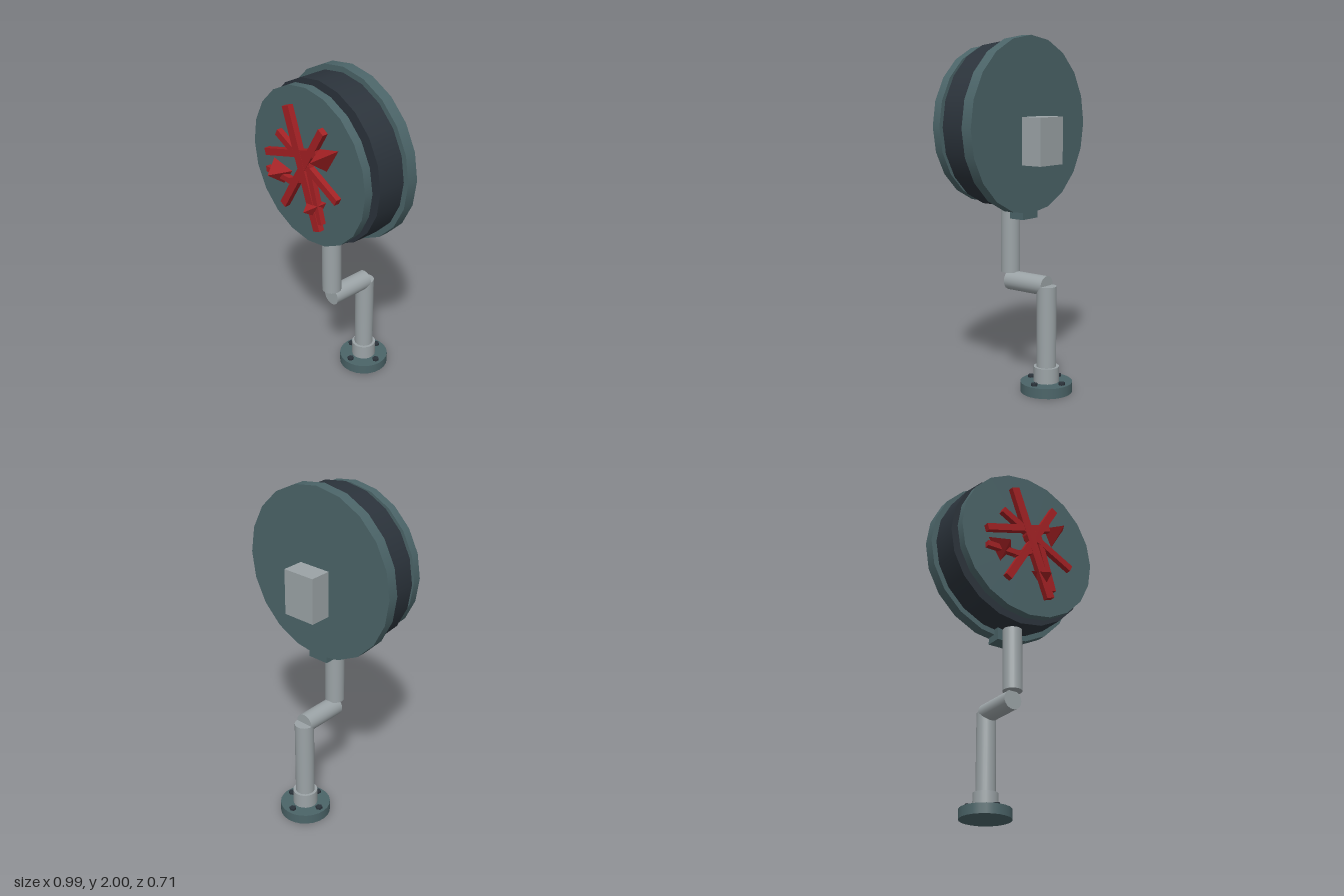
import * as THREE from 'three';

const mat = (name, color) => {
  const m = new THREE.MeshStandardMaterial({ color });
  m.name = name;
  return m;
};

export function createModel() {
  const root = new THREE.Group();
  root.name = 'drumOnPost';
  const teal = mat('slateTeal', 0x4b6468);
  const dark = mat('darkSteel', 0x2b333b);
  const grey = mat('paleSteel', 0x9ba3a6);
  const red = mat('signalRed', 0xa32023);
  const redFlat = mat('signalRedFaceted', 0xa32023);
  redFlat.flatShading = true;

  const CY = 1.505;    // drum axis height
  const POST_Z = -0.205;

  const add = (name, geo, material, x, y, z) => {
    const mesh = new THREE.Mesh(geo, material);
    mesh.name = name;
    mesh.position.set(x, y, z);
    root.add(mesh);
    return mesh;
  };
  const box = (name, m, w, h, d, x, y, z) => add(name, new THREE.BoxGeometry(w, h, d), m, x, y, z);
  // upright cylinder from y0 to y1
  const post = (name, m, r, y0, y1, x, z, sides = 24) =>
    add(name, new THREE.CylinderGeometry(r, r, y1 - y0, sides), m, x, (y0 + y1) / 2, z);
  // cylinder along z from z0 to z1
  const disc = (name, m, r, z0, z1, y, sides = 20) => {
    const geo = new THREE.CylinderGeometry(r, r, z1 - z0, sides).rotateX(Math.PI / 2);
    return add(name, geo, m, 0, y, (z0 + z1) / 2);
  };
  // flat bar in the xy plane between two points
  const bar = (name, m, a, b, width, z0, z1) => {
    const dx = b[0] - a[0], dy = b[1] - a[1];
    const mesh = box(name, m, Math.hypot(dx, dy), width, z1 - z0,
      (a[0] + b[0]) / 2, (a[1] + b[1]) / 2, (z0 + z1) / 2);
    mesh.rotation.z = Math.atan2(dy, dx);
  };
  // three-sided spike pointing forward
  const spike = (corners, tip) => {
    const [a, b, c] = corners.map(([x, y]) => [x, y, 0.232]);
    const geo = new THREE.BufferGeometry();
    const points = [a, b, tip, b, c, tip, c, a, tip, a, c, b].flat();
    geo.setAttribute('position', new THREE.Float32BufferAttribute(points, 3));
    geo.computeVertexNormals();
    add('spike', geo, redFlat, 0, 0, 0);
  };

  // Foot with four hex bolts
  post('baseFlange', teal, 0.148, 0, 0.058, 0, POST_Z);
  for (let i = 0; i < 4; i++) {
    const t = i * Math.PI / 2;
    post('baseBolt', dark, 0.02, 0.05, 0.071, Math.sin(t) * 0.11, POST_Z + Math.cos(t) * 0.11, 6);
  }

  // Cranked post
  post('collar', grey, 0.072, 0.058, 0.146, 0, POST_Z);
  post('lowerPost', grey, 0.056, 0.14, 0.61, 0, POST_Z);
  disc('crossPost', grey, 0.056, POST_Z, 0.064, 0.61, 24);
  post('upperPost', grey, 0.056, 0.66, 1.03, 0, 0.06);
  box('mountBracket', teal, 0.13, 0.09, 0.095, 0, 1.025, -0.037);

  // Drum, back plate and motor housing
  disc('backPlate', teal, 0.495, -0.09, -0.025, CY);
  disc('drum', dark, 0.463, -0.025, 0.142, CY);
  box('motorHousing', grey, 0.2, 0.265, 0.128, 0, 1.423, -0.172);

  // Fittings on the drum face behind the lid
  [[-0.263, 1.48, 0.165, 0.14], [-0.128, 1.64, 0.07, 0.14], [-0.015, 1.3, 0.07, 0.12],
    [0.262, 1.48, 0.165, 0.14], [-0.128, 1.2, 0.07, 0.08]].forEach(([x, y, w, h]) =>
    box('innerFitting', dark, w, h, 0.02, x, y, 0.15));
  box('innerTab', red, 0.135, 0.2, 0.025, 0.09, 1.62, 0.155);

  // Front lid
  disc('lidSeal', grey, 0.415, 0.174, 0.182, CY);
  disc('lid', teal, 0.447, 0.182, 0.232, CY);

  // Crossed red bars
  [[[-0.118, 1.83], [0.118, 1.18], 0.053],
    [[0.16, 1.773], [-0.163, 1.235], 0.044],
    [[-0.303, 1.505], [0.12, 1.635], 0.04],
    [[-0.2, 1.655], [0.27, 1.415], 0.04],
    [[-0.3, 1.402], [-0.1, 1.402], 0.032],
    [[-0.12, 1.395], [0, 1.445], 0.03],
    [[0.045, 1.56], [0.14, 1.23], 0.036]].forEach(([a, b, w], i) =>
    bar('crossBar', red, a, b, w, 0.24, 0.274 - i * 0.0005));
  disc('hub', red, 0.045, 0.228, 0.272, 1.55, 8);

  // Spikes
  spike([[0.106, 1.651], [0.159, 1.54], [0.249, 1.688]], [0.165, 1.63, 0.353]);
  spike([[-0.275, 1.466], [-0.196, 1.339], [-0.122, 1.439]], [-0.2, 1.42, 0.342]);
  spike([[0.016, 1.339], [0.095, 1.243], [0.153, 1.354]], [0.082, 1.305, 0.332]);

  return root;
}
